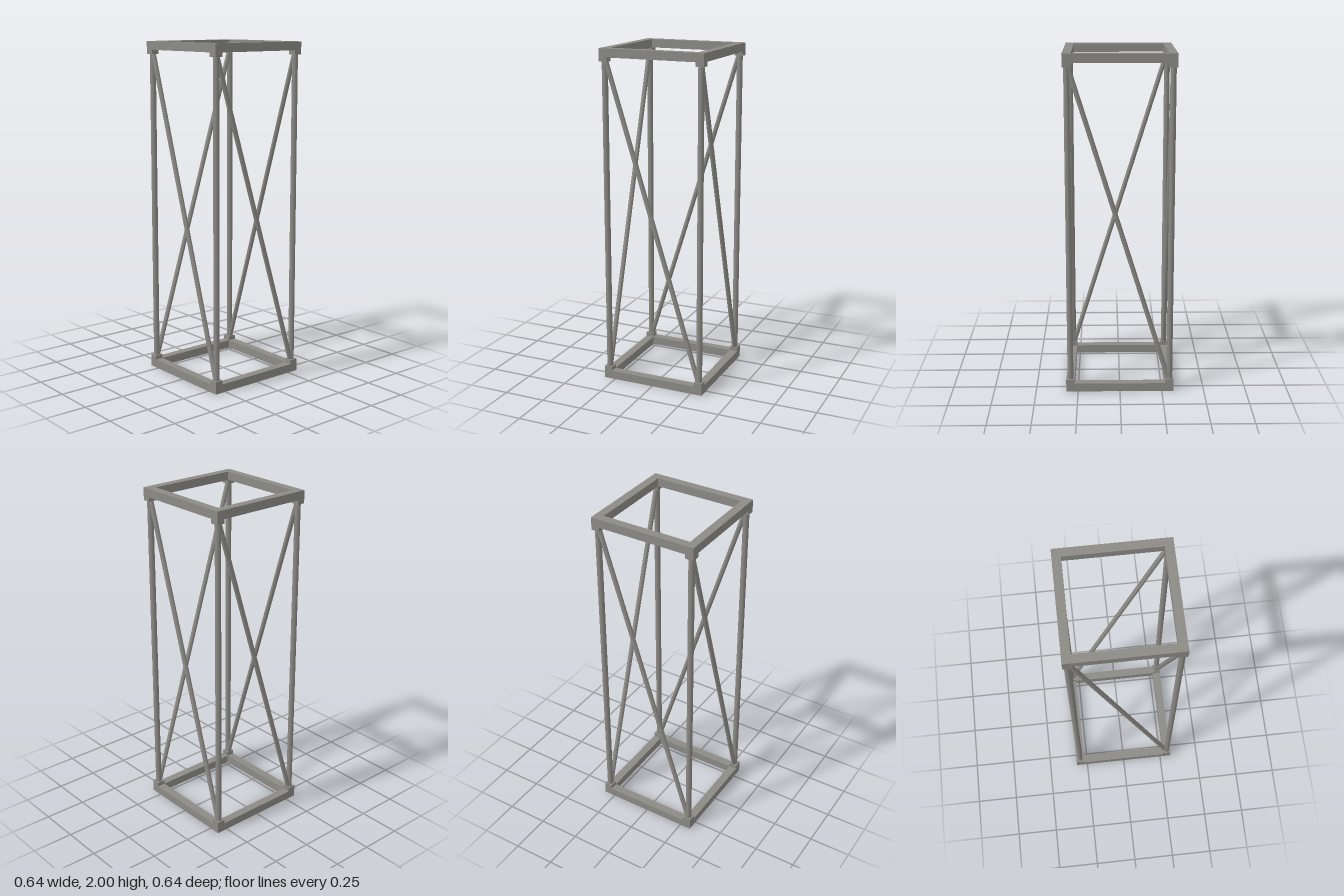
import * as THREE from 'three';

export function createModel() {
  const steel = new THREE.MeshStandardMaterial({ color: 0x8c8a85 });
  steel.name = 'weathered steel grey';

  const model = new THREE.Group();
  model.name = 'trussSegment';

  const HEIGHT = 2, HALF = 0.32, BEAM = 0.05;
  const AXIS = HALF - BEAM / 2; // centre line of posts and beams

  const add = (parent, name, geometry) => {
    const mesh = new THREE.Mesh(geometry, steel);
    mesh.name = name;
    parent.add(mesh);
    return mesh;
  };

  // Round bar between two points
  const bar = (parent, name, a, b, radius) => {
    const dir = b.clone().sub(a);
    const mesh = add(parent, name, new THREE.CylinderGeometry(radius, radius, dir.length(), 12));
    mesh.position.copy(a).add(b).multiplyScalar(0.5);
    mesh.quaternion.setFromUnitVectors(new THREE.Vector3(0, 1, 0), dir.normalize());
  };

  // Square end frames, bottom and top
  const square = (Type, h) => new Type([[-h, -h], [h, -h], [h, h], [-h, h]].map(p => new THREE.Vector2(...p)));
  const outline = square(THREE.Shape, HALF);
  outline.holes.push(square(THREE.Path, HALF - BEAM));
  const frameGeometry = new THREE.ExtrudeGeometry(outline, { depth: BEAM, bevelEnabled: false });
  frameGeometry.rotateX(-Math.PI / 2);
  add(model, 'bottomFrame', frameGeometry);
  add(model, 'topFrame', frameGeometry).position.y = HEIGHT - BEAM;

  // Four identical sides: corner post, corner blocks and one diagonal brace each
  const blockGeometry = new THREE.BoxGeometry(BEAM, BEAM, BEAM);
  for (let i = 0; i < 4; i++) {
    const side = new THREE.Group();
    side.name = 'side' + (i + 1);
    side.rotation.y = i * Math.PI / 2;
    const point = (x, y) => new THREE.Vector3(x, y, AXIS);

    bar(side, 'cornerPost', point(AXIS, BEAM), point(AXIS, HEIGHT - BEAM), 0.0175);
    bar(side, 'diagonalBrace', point(-AXIS, HEIGHT - BEAM), point(AXIS, BEAM), 0.014);
    add(side, 'lowerCornerBlock', blockGeometry).position.copy(point(AXIS, BEAM));
    add(side, 'upperCornerBlock', blockGeometry).position.copy(point(AXIS, HEIGHT - BEAM));
    model.add(side);
  }

  return model;
}
